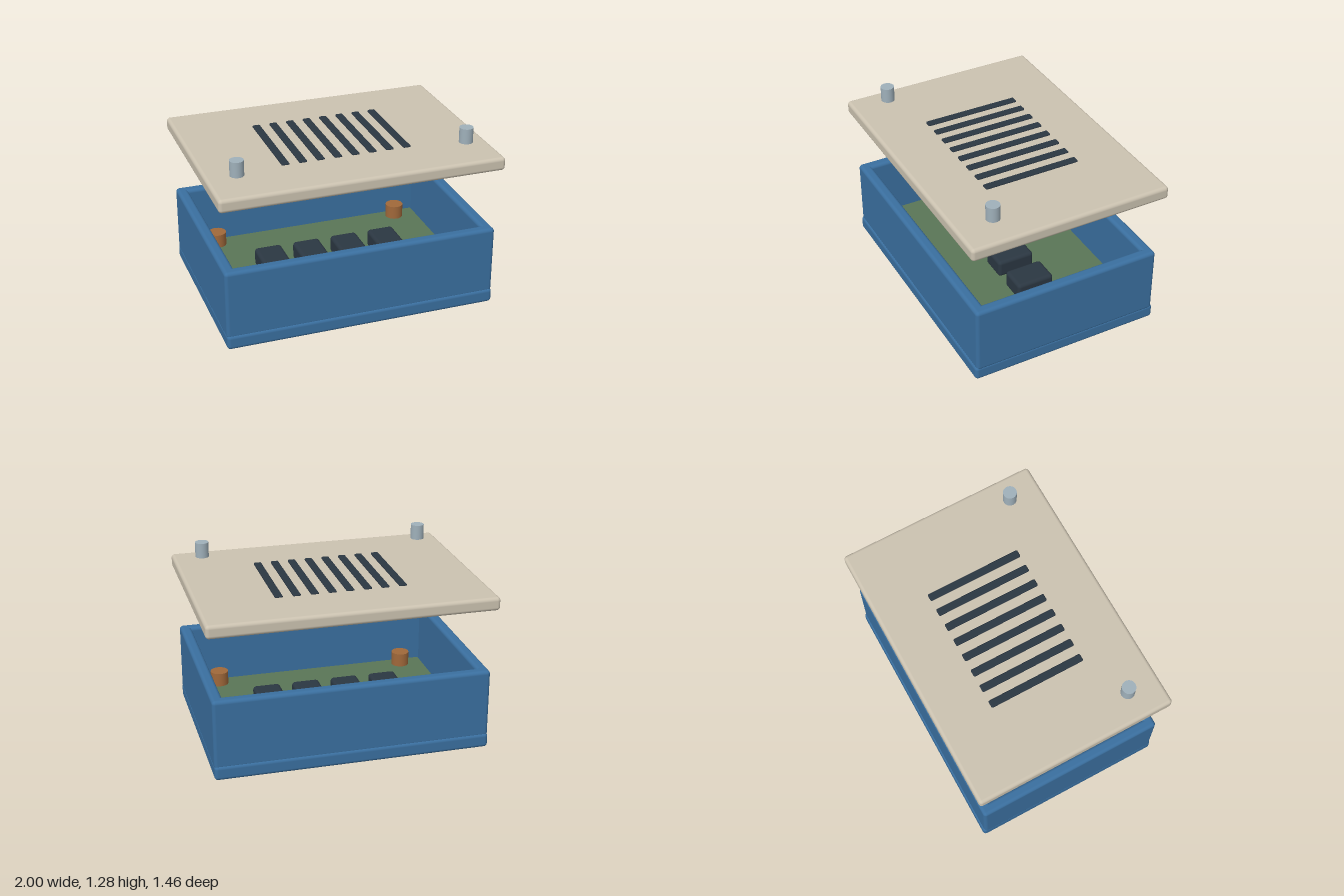
import * as THREE from 'three';
import { RoundedBoxGeometry } from 'three/addons/geometries/RoundedBoxGeometry.js';

const paint = (color) => new THREE.MeshStandardMaterial({ color });

export function createModel() {
  const root = new THREE.Group();
  root.name = 'explodedEnclosure';
  const blue = paint(0x3a6f9f);
  const cream = paint(0xcbc2b0);
  const dark = paint(0x2b3742);
  const steel = paint(0x9fb0ba);
  const green = paint(0x5a7556);
  const copper = paint(0xa0683a);

  function add(name, geometry, material, x, y, z, parent = root) {
    const mesh = new THREE.Mesh(geometry, material);
    mesh.name = name;
    mesh.position.set(x, y, z);
    parent.add(mesh);
    return mesh;
  }
  const rounded = (w, h, d, r) => new RoundedBoxGeometry(w, h, d, 4, r);

  // Open case: floor slab and four walls
  const caseGroup = new THREE.Group();
  caseGroup.name = 'case';
  root.add(caseGroup);
  add('floor', rounded(1.94, 0.105, 1.4, 0.025), blue, 0, 0.0525, 0, caseGroup);
  const wallH = 0.5, wallY = 0.33, t = 0.08;
  for (const s of [-1, 1]) {
    add(s > 0 ? 'frontWall' : 'backWall', rounded(1.94, wallH, t, 0.025), blue, 0, wallY, s * (0.69 - t / 2), caseGroup);
    add(s > 0 ? 'leftWall' : 'rightWall', rounded(t, wallH, 1.38, 0.025), blue, s * (0.97 - t / 2), wallY, 0, caseGroup);
  }

  // Circuit board with chips and standoffs
  add('circuitBoard', new THREE.BoxGeometry(1.76, 0.045, 1.2), green, 0, 0.1275, 0);
  for (let i = 0; i < 4; i++) {
    add('chip', rounded(0.2, 0.13, 0.28, 0.025), dark, (i - 1.5) * 0.29, 0.213, 0);
  }
  for (const x of [-0.71, 0.71]) {
    for (const z of [-0.52, 0.52]) {
      add('standoff', new THREE.CylinderGeometry(0.065, 0.065, 0.1, 32), copper, x, 0.2, z);
    }
  }

  // Raised lid with vent strips
  const lid = new THREE.Group();
  lid.name = 'lid';
  root.add(lid);
  add('lidPlate', rounded(2, 0.095, 1.46, 0.025), cream, 0, 1.085, 0, lid);
  for (let i = 0; i < 8; i++) {
    add('ventStrip', rounded(0.055, 0.03, 0.7, 0.01), dark, (i - 3.5) * 0.1245, 1.13, 0, lid);
  }

  // Screws floating above the front corners
  for (const x of [-0.81, 0.81]) {
    add('screw', new THREE.CylinderGeometry(0.048, 0.048, 0.108, 32), steel, x, 1.231, 0.485);
  }
  return root;
}
